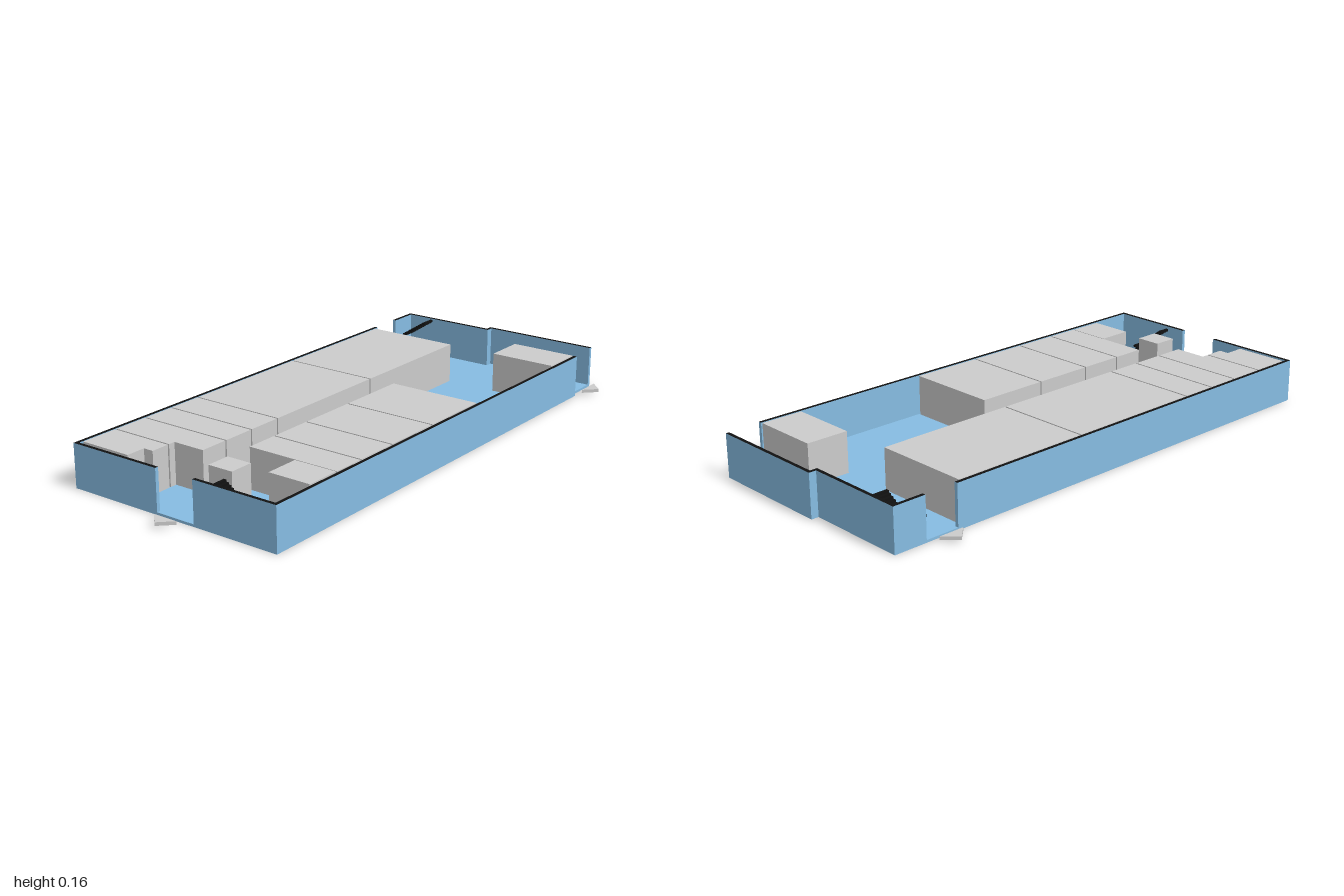
import * as THREE from 'three';

const blue = new THREE.MeshStandardMaterial({ color: 0x86bce2 });
const grey = new THREE.MeshStandardMaterial({ color: 0xcccccc });
const black = new THREE.MeshStandardMaterial({ color: 0x111111 });

const FLOOR = 0.009, TOP = 0.157;

// Box given by its limits on each axis
function box(name, x0, x1, y0, y1, z0, z1, material) {
  const mesh = new THREE.Mesh(new THREE.BoxGeometry(x1 - x0, y1 - y0, z1 - z0), material);
  mesh.position.set((x0 + x1) / 2, (y0 + y1) / 2, (z0 + z1) / 2);
  mesh.name = name;
  return mesh;
}

// Plan outline of [x, z] points raised from y0 to y1
function prism(name, points, y0, y1, material) {
  const shape = new THREE.Shape(points.map(([x, z]) => new THREE.Vector2(x, -z)));
  const geometry = new THREE.ExtrudeGeometry(shape, { depth: y1 - y0, bevelEnabled: false });
  geometry.rotateX(-Math.PI / 2).translate(0, y0, 0);
  const mesh = new THREE.Mesh(geometry, material);
  mesh.name = name;
  return mesh;
}

// Half-turn stair: the lower flight climbs to -x, the upper one back to +x
function stair(name, width, depth) {
  const group = new THREE.Group();
  group.name = name;
  const steps = 10, run = width / steps, rise = 0.0068;
  for (let flight = 0; flight < 2; flight++) {
    for (let i = 0; i < steps; i++) {
      const x = flight ? -width / 2 + i * run : width / 2 - (i + 1) * run;
      const y = 0.014 + (flight * steps + i) * rise;
      const z = flight ? -depth / 2 : 0;
      group.add(box('step', x, x + run, y, y + rise + 0.002, z, z + depth / 2, black));
    }
  }
  return group;
}

export function createModel() {
  const model = new THREE.Group();

  // Floor slab with a stepped back edge
  model.add(prism('floor', [
    [-0.415, 0.915], [0.426, 0.915], [0.426, -0.863], [0.413, -0.863],
    [0.413, -1], [-0.042, -1], [-0.042, -0.973], [-0.415, -0.973],
  ], 0, FLOOR, blue));

  // Outer walls with dark tops: x0, x1, z0, z1
  const wallMaterials = [blue, blue, black, blue, blue, blue];
  const walls = {
    frontWallRight: [-0.402, -0.055, 0.902, 0.915],
    frontWallLeft: [0.098, 0.413, 0.902, 0.915],
    rightWall: [-0.415, -0.402, -0.725, 0.915],
    rightWallBack: [-0.415, -0.402, -0.973, -0.85],
    leftWall: [0.413, 0.426, -0.863, 0.915],
    backWallRight: [-0.402, -0.042, -0.973, -0.96],
    backWallStep: [-0.042, -0.03, -0.987, -0.96],
    backWallLeft: [-0.042, 0.413, -1, -0.987],
  };
  for (const [name, [x0, x1, z0, z1]] of Object.entries(walls)) {
    model.add(box(name, x0, x1, FLOOR, TOP, z0, z1, wallMaterials));
  }

  // Rows of room blocks, split by narrow gaps
  const gap = 0.003;
  function row(name, x0, x1, cuts) {
    for (let i = 0; i + 1 < cuts.length; i++) {
      model.add(box(name, x0, x1, FLOOR, TOP, cuts[i] + gap, cuts[i + 1] - gap, grey));
    }
  }
  row('rightRoom', -0.398, -0.04, [-0.708, -0.179, 0.345, 0.479, 0.605]);
  row('leftRoom', 0.058, 0.407, [-0.19, 0.085, 0.313, 0.479, 0.605]);
  row('leftFrontRoom', 0.245, 0.405, [0.602, 0.736]);
  row('frontRoom', 0.058, 0.153, [0.705, 0.8]);
  row('leftBackRoom', 0.155, 0.407, [-0.865, -0.702]);

  // Rooms with notched corners
  model.add(prism('rightNotchedRoom', [
    [-0.398, 0.608], [-0.398, 0.74], [-0.162, 0.74],
    [-0.162, 0.715], [-0.04, 0.715], [-0.04, 0.608],
  ], FLOOR, TOP, grey));
  model.add(prism('rightFrontRoom', [
    [-0.398, 0.746], [-0.398, 0.888], [-0.2, 0.888],
    [-0.2, 0.815], [-0.162, 0.815], [-0.162, 0.746],
  ], FLOOR, TOP, grey));

  // Two stairs, the front one turned half round
  const backStair = stair('backStair', 0.105, 0.13);
  backStair.position.set(-0.347, 0, -0.9);
  const frontStair = stair('frontStair', 0.1, 0.09);
  frontStair.position.set(0.213, 0, 0.845);
  frontStair.rotation.y = Math.PI;
  model.add(backStair, frontStair);

  // Arrow markers outside the three entrances
  for (const [name, x, z, turn] of [
    ['frontArrow', 0.016, 0.954, 0],
    ['leftArrow', 0.446, -0.926, Math.PI / 2],
    ['rightArrow', -0.447, -0.78, -Math.PI / 2],
  ]) {
    const arrow = prism(name, [[-0.047, 0], [0, 0.046], [0.047, 0]], 0.012, 0.024, grey);
    arrow.position.set(x, 0, z);
    arrow.rotation.y = turn;
    model.add(arrow);
  }
  return model;
}
